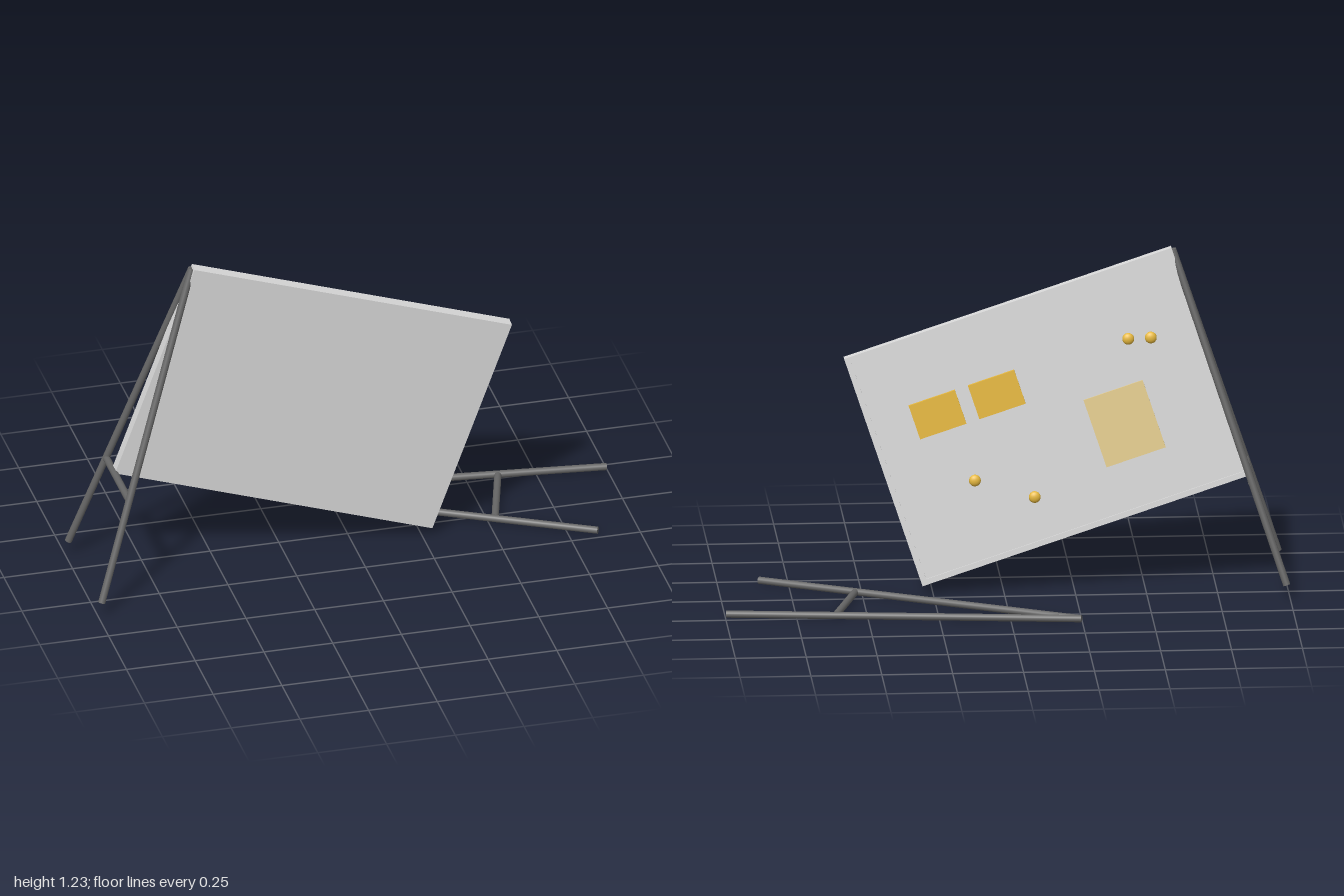
import * as THREE from 'three';

const material = (name, color) => {
  const m = new THREE.MeshStandardMaterial({ color });
  m.name = name;
  return m;
};

export function createModel() {
  const model = new THREE.Group();
  model.name = 'fallenBoard';
  const grey = material('lightGrey', 0xdcdcdc);
  const steel = material('darkSteel', 0x666666);
  const gold = material('gold', 0xebbc40);
  const tan = material('paleTan', 0xeed696);

  const add = (parent, name, geometry, mat, x = 0, y = 0, z = 0) => {
    const mesh = new THREE.Mesh(geometry, mat);
    mesh.name = name;
    mesh.position.set(x, y, z);
    parent.add(mesh);
    return mesh;
  };

  // Round bar between two points
  const bar = (parent, name, a, b) => {
    const from = new THREE.Vector3(...a), to = new THREE.Vector3(...b);
    const dir = to.clone().sub(from);
    const mesh = add(parent, name, new THREE.CylinderGeometry(0.013, 0.013, dir.length(), 16), steel);
    mesh.position.copy(from).add(to).multiplyScalar(0.5);
    mesh.quaternion.setFromUnitVectors(new THREE.Vector3(0, 1, 0), dir.normalize());
  };

  // A-shaped stand: two legs meeting at an apex, plus a crossbar
  const stand = (name, apex, footA, footB, crossA, crossB) => {
    const group = new THREE.Group();
    group.name = name;
    bar(group, 'frontLeg', apex, footA);
    bar(group, 'backLeg', apex, footB);
    bar(group, 'crossbar', crossA, crossB);
    model.add(group);
  };
  stand('standingLegs', [-0.6, 1.223, 0.125], [-0.987, 0.054, 0.355], [-0.987, 0.054, -0.108],
    [-0.868, 0.41, 0.283], [-0.868, 0.41, -0.037]);
  stand('fallenLegs', [-0.245, 0.014, -0.357], [0.853, 0.014, 0.222], [0.998, 0.014, -0.214],
    [0.525, 0.014, 0.045], [0.612, 0.014, -0.25]);

  // Leaning board, built upright then tipped
  const W = 1.217, H = 0.864, D = 0.04, RIM = 0.02, RECESS = 0.006;
  const board = new THREE.Group();
  board.name = 'board';
  board.position.set(-0.154, 0.63, 0.097);
  board.rotation.set(0.0754, 0, -0.3217, 'ZYX');
  model.add(board);
  add(board, 'panel', new THREE.BoxGeometry(W, H, D - RECESS), grey, 0, 0, RECESS / 2);

  // Raised rim around the back
  const outline = (w, h, path) => path.moveTo(-w, -h).lineTo(w, -h).lineTo(w, h).lineTo(-w, h).closePath();
  const rimShape = new THREE.Shape();
  outline(W / 2, H / 2, rimShape);
  const hole = new THREE.Path();
  outline(W / 2 - RIM, H / 2 - RIM, hole);
  rimShape.holes.push(hole);
  add(board, 'backRim', new THREE.ExtrudeGeometry(rimShape, { depth: RECESS, bevelEnabled: false }), grey, 0, 0, -D / 2);

  // Plates and knobs on the back, placed by fractions of width and height
  const floor = -D / 2 + RECESS;
  const plate = (name, u, v, w, h, t, mat) =>
    add(board, name, new THREE.BoxGeometry(w, h, t), mat, (u - 0.5) * W, (v - 0.5) * H, floor - t / 2);
  plate('squarePlate', 0.797, 0.657, 0.172, 0.127, 0.014, gold);
  plate('squarePlate', 0.616, 0.657, 0.172, 0.127, 0.014, gold);
  plate('largePlate', 0.294, 0.37, 0.22, 0.255, 0.006, tan);
  for (const [u, v] of [[0.204, 0.7], [0.141, 0.675], [0.757, 0.347], [0.609, 0.202]]) {
    const knob = add(board, 'knob', new THREE.SphereGeometry(0.021, 16, 12), gold, (u - 0.5) * W, (v - 0.5) * H, floor - 0.007);
    knob.scale.z = 0.65;
  }
  return model;
}
